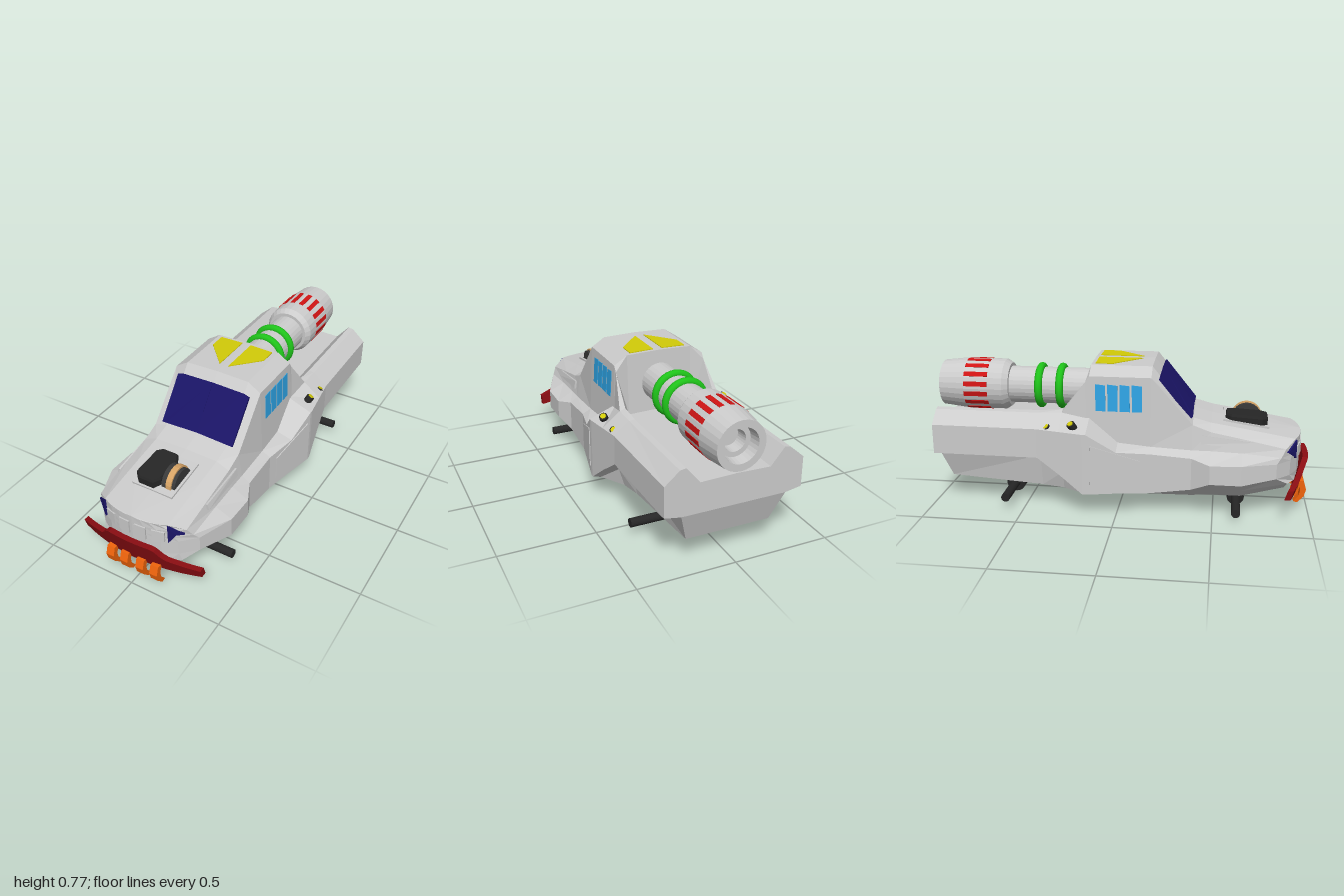
import * as THREE from 'three';

const GREY = 0xcccccc, BLACK = 0x262626, NAVY = 0x1a1466, YELLOW = 0xd2cb08;

function mat(color, opts = {}) {
  return new THREE.MeshStandardMaterial({ color, flatShading: true, ...opts });
}

export function createModel() {
  const model = new THREE.Group();

  function add(name, geometry, color, opts) {
    const mesh = new THREE.Mesh(geometry, mat(color, opts));
    mesh.name = name;
    model.add(mesh);
    return mesh;
  }

  function fromTriangles(list) {
    const g = new THREE.BufferGeometry().setFromPoints(list);
    g.computeVertexNormals();
    return g;
  }

  // Thin plate laid on a surface: corners run counter-clockwise seen from outside
  function plate(name, corners, color, lift = 0.005) {
    const p = corners.map(c => new THREE.Vector3(...c));
    const n = new THREE.Vector3();
    p.forEach((a, i) => n.add(a.clone().cross(p[(i + 1) % p.length])));
    n.normalize();
    const top = p.map(v => v.clone().addScaledVector(n, lift));
    const low = p.map(v => v.clone().addScaledVector(n, -0.012));
    const t = [];
    for (let i = 0; i < p.length; i++) {
      const j = (i + 1) % p.length;
      if (i > 0 && j > 0) t.push(top[0], top[i], top[j]);
      t.push(low[i], low[j], top[j], low[i], top[j], top[i]);
    }
    add(name, fromTriangles(t), color, { side: THREE.DoubleSide });
  }
  function platePair(name, corners, color, lift) {
    plate(name + 'Left', corners, color, lift);
    plate(name + 'Right', corners.map(([x, y, z]) => [-x, y, z]).reverse(), color, lift);
  }

  // Hull sections, nose to tail:
  // z, crown y, shoulder y, belt y, flank x, flank top y, flank bottom y, keel x, keel y
  const stations = [
    [0.95, .41, .37, .33, .29, .30, .22, .17, .13],
    [0.64, .455, .415, .345, .36, .305, .20, .22, .09],
    [0.48, .48, .445, .35, .36, .30, .20, .22, .09],
    [0.385, .505, .48, .35, .315, .32, .15, .24, .09],
    [0.17, .77, .72, .36, .317, .335, .12, .27, .10],
    [0, .77, .72, .375, .356, .35, .125, .28, .10],
    [-0.15, .77, .72, .50, .39, .45, .125, .30, .10],
    [-0.17, .45, .69, .50, .39, .45, .125, .30, .10],
    [-0.29, .45, .54, .53, .375, .455, .22, .26, .105],
    [-0.41, .45, .53, .525, .36, .46, .305, .24, .11],
    [-0.965, .45, .53, .525, .355, .46, .305, .22, .135],
  ];
  const last = stations.length - 1;
  const bow = x => 0.9 * x * x + 8 * x ** 4;
  const cabSide = y => 0.25 + 0.055 * (0.72 - y);
  const zAt = (s, row, x) => stations[s][0] - (s === 0 ? bow(x) : 0)
    + (row < 7 ? 0 : s === 0 ? -0.05 : s === last ? 0.05 : 0);
  const rings = stations.map(([z, crown, shoulder, belt, flank, flankTop, flankLow, keelX, keelY], s) => {
    // behind the cab the flank overhangs a narrower lower hull
    const tuck = z < -0.2 ? [flank - .085, flankLow - .015] : [(flank + keelX) / 2, (flankLow + keelY) / 2];
    const half = [
      [0, crown], [.18, crown - .005], [.25, shoulder], [z < -0.2 ? .28 : cabSide(belt), belt],
      [flank, flankTop], [flank, flankLow], tuck, [keelX, keelY], [0, keelY],
    ].map(([x, y], row) => new THREE.Vector3(x, y, zAt(s, row, x)));
    const mirrored = half.slice(1, 8).reverse().map(v => new THREE.Vector3(-v.x, v.y, v.z));
    return [...half, ...mirrored];
  });
  const tris = [];
  for (let s = 0; s < last; s++) {
    for (let i = 0; i < 16; i++) {
      const j = (i + 1) % 16, A = rings[s], B = rings[s + 1];
      // mirrored diagonal on the right half
      if (i < 8) tris.push(A[i], A[j], B[j], A[i], B[j], B[i]);
      else tris.push(A[i], A[j], B[i], A[j], B[j], B[i]);
    }
  }
  // bowed nose
  const nose = (r, c) => {
    const p = rings[0][r], x = p.x * (c / 4 - 1);
    return new THREE.Vector3(x, p.y, zAt(0, r, x));
  };
  for (let r = 0; r < 7; r++) {
    for (let c = 0; c < 8; c++) {
      const a = nose(r, c), b = nose(r, c + 1), d = nose(r + 1, c), e = nose(r + 1, c + 1);
      tris.push(a, d, e);
      if (r > 0) tris.push(a, e, b);
    }
  }
  // nose underside, closing the bow down to the keel
  for (let c = 0; c < 8; c++) tris.push(nose(7, c), rings[0][8], nose(7, c + 1));
  // tail with its notch
  const tail = rings[last];
  for (const [a, b, c] of THREE.ShapeUtils.triangulateShape(tail.map(v => new THREE.Vector2(v.x, v.y)), [])) {
    tris.push(tail[c], tail[b], tail[a]);
  }
  add('hull', fromTriangles(tris), GREY, { side: THREE.DoubleSide });

  // Windshield, two halves meeting at the middle
  const glass = (x, y, y0) => [x, y, 0.385 - 0.215 * (y - y0) / 0.265];
  platePair('windshield', [
    glass(0, .515, .505), glass(.18, .508, .50), glass(.21, .505, .495), glass(.21, .708, .495),
    glass(.18, .717, .50), glass(0, .722, .505),
  ], NAVY, 0.006);

  // Side windows, doors and hood vents
  for (let i = 0; i < 4; i++) {
    const z = 0.125 - i * 0.063;
    platePair('sideWindow' + i, [
      [.54, z], [.54, z - .052], [.68, z - .055], [.675, z - .003],
    ].map(([y, zz]) => [cabSide(y), y, zz]), 0x2fa5e6, 0.003);
  }
  const skirt = z => 0.317 + (0.17 - z) * 0.228;
  platePair('door', [[.16, .12], [.17, -.13], [.39, -.13], [.30, .12]].map(([y, z]) => [skirt(z), y, z]), GREY);
  platePair('hoodVent', [[.266, .37, .70], [.269, .385, .43], [.262, .43, .43], [.257, .40, .70]], GREY);

  // Headlights and grille panels wrapped on the nose
  const onNose = ([x, y]) => [x, y, 0.952 - bow(x)];
  platePair('headlight', [[.213, .35], [.245, .35], [.178, .40], [.178, .30]].map(onNose), NAVY, 0.008);
  platePair('innerGrille', [[.015, .295], [.075, .295], [.075, .368], [.015, .37]].map(onNose), GREY);
  platePair('outerGrille', [[.105, .295], [.165, .305], [.165, .36], [.105, .367]].map(onNose), GREY);

  // Roof markings
  platePair('roofMarking', [[.025, .77, .105], [.155, .767, -.04], [.155, .767, -.13], [.025, .77, -.13]], YELLOW, 0.003);

  // Hood plate with engine block and belt wheel
  plate('hoodPlate', [[-.115, .437, .78], [.115, .437, .78], [.115, .472, .54], [-.115, .472, .54]], GREY);
  const block = new THREE.Shape([
    [-.105, -.08], [-.08, -.105], [0, -.105], [.02, -.07], [.02, .07], [0, .105], [-.08, .105], [-.105, .08],
  ].map(p => new THREE.Vector2(...p)));
  const engine = add('engineBlock', new THREE.ExtrudeGeometry(block, {
    depth: 0.045, bevelThickness: 0.012, bevelSize: 0.005, bevelSegments: 1,
  }), BLACK);
  engine.rotation.x = -Math.PI / 2 + 0.06;
  engine.position.set(0, 0.44, 0.66);
  [[.03, .06, .078, 0x3a3a3a], [.055, .085, .081, 0xd9a566], [.085, .102, .072, 0x3a3a3a]].forEach(([x0, x1, r, color], i) => {
    const wheel = add('beltWheel' + i, new THREE.CylinderGeometry(r, r, x1 - x0, 24), color);
    wheel.rotation.z = Math.PI / 2;
    wheel.position.set((x0 + x1) / 2, 0.445, 0.665);
  });

  // Rear thruster tube with hollow nozzle
  const thruster = new THREE.Group();
  thruster.name = 'thruster';
  thruster.position.y = 0.6;
  model.add(thruster);
  const tube = [
    [.1, .14], [.1, .62], [.118, .62], [.138, .65], [.14, .86], [.124, 1], [.088, 1], [.08, .94], [.055, .94], [.05, .88], [0, .88],
  ].map(p => new THREE.Vector2(...p));
  const body = add('thrusterTube', new THREE.LatheGeometry(tube, 28), GREY, { side: THREE.DoubleSide });
  body.rotation.x = -Math.PI / 2;
  thruster.add(body);
  for (const z of [-0.34, -0.455]) {
    const ring = add('thrusterRing', new THREE.TorusGeometry(0.104, 0.021, 10, 32), 0x1fc41a, { flatShading: false });
    ring.position.z = z;
    thruster.add(ring);
  }
  for (let i = 0; i < 16; i++) {
    const a = (i + 0.5) * Math.PI / 8;
    const slit = add('thrusterSlit', new THREE.BoxGeometry(0.026, 0.012, 0.13), 0xd01414);
    slit.position.set(Math.sin(a) * 0.135, Math.cos(a) * 0.135, -0.795);
    slit.rotation.z = -a;
    thruster.add(slit);
  }

  // Rear side lamps
  for (const side of [1, -1]) {
    for (const [x, y, z] of [[.34, .475, -.225], [.335, .455, -.355]]) {
      const axis = new THREE.Vector3(side * 0.4, 0.8, -0.4).normalize();
      [[.022, .04, 0, BLACK], [.015, .008, .021, YELLOW]].forEach(([r, h, out, color]) => {
        const lamp = add('sideLamp', new THREE.CylinderGeometry(r, r, h, 12), color);
        lamp.position.set(side * x, y, z).addScaledVector(axis, out);
        lamp.quaternion.setFromUnitVectors(new THREE.Vector3(0, 1, 0), axis);
      });
    }
  }

  // Curved ram bumper: a box bent by rule
  const bumper = new THREE.BoxGeometry(0.69, 1, 0.03, 30, 1, 1);
  const pos = bumper.attributes.position;
  const lerp = THREE.MathUtils.mapLinear;
  for (let i = 0; i < pos.count; i++) {
    const x = pos.getX(i), ax = Math.abs(x);
    const topY = ax < .13 ? .285 : ax < .175 ? lerp(ax, .13, .175, .285, .22) : lerp(ax, .175, .345, .22, .18);
    const y = pos.getY(i) > 0 ? topY : 0.13;
    pos.setXYZ(i, x, y, 0.935 + pos.getZ(i) + 0.3 * (y - 0.13) - 0.5 * x * x);
  }
  add('bumper', bumper, 0x8a0d12);

  // Bumper hooks
  const hook = new THREE.Shape([
    [.94, .162], [.972, .162], [.988, .115], [.978, .075], [.945, .04], [.925, .045], [.952, .08], [.958, .115],
  ].map(([z, y]) => new THREE.Vector2(-z, y)));
  for (const x of [-0.128, -0.046, 0.046, 0.128]) {
    const mesh = add('bumperHook', new THREE.ExtrudeGeometry(hook, { depth: 0.044, bevelEnabled: false }), 0xf0640c);
    mesh.rotation.y = Math.PI / 2;
    mesh.position.x = x - 0.022;
  }

  // Axles
  for (const [name, y, z, r] of [['frontAxle', .046, .62, .046], ['rearAxle', .07, -.59, .052]]) {
    for (const [radius, length] of [[r, .26], [.023, .715]]) {
      const axle = add(name, new THREE.CylinderGeometry(radius, radius, length, 20), BLACK);
      axle.rotation.z = Math.PI / 2;
      axle.position.set(0, y, z);
    }
  }
  return model;
}
